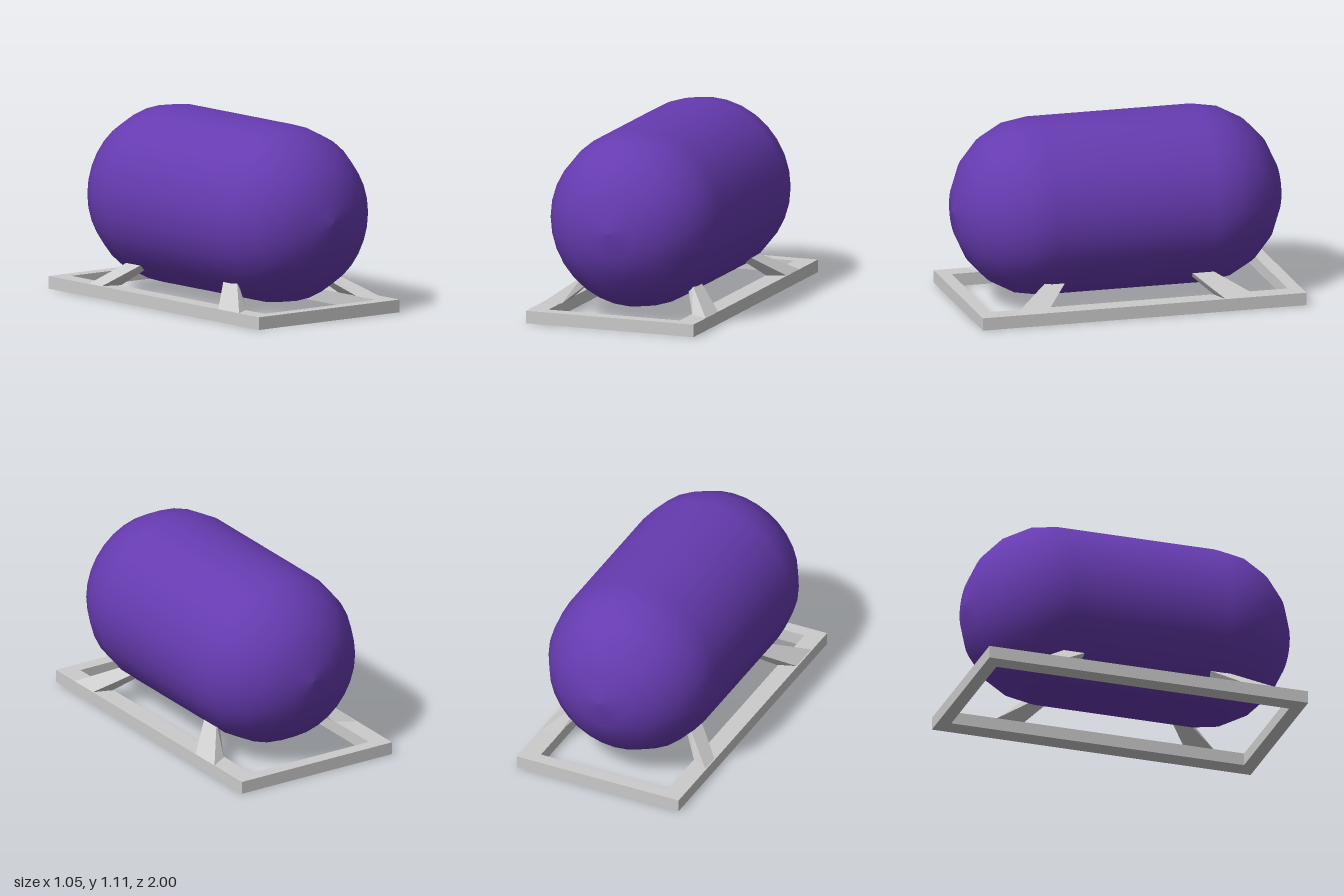
import * as THREE from 'three';
import { ConvexGeometry } from 'three/addons/geometries/ConvexGeometry.js';

const grey = new THREE.MeshStandardMaterial({ color: 0xcccccc, flatShading: true });
const purple = new THREE.MeshStandardMaterial({ color: 0x663bb0 });

function addMesh(group, name, geometry, material) {
  const mesh = new THREE.Mesh(geometry, material);
  mesh.name = name;
  group.add(mesh);
  return mesh;
}

// Corner points of a rectangle lying in the ground plane (shape y = -z)
function rectangle(x0, x1, z0, z1) {
  return [[x0, -z1], [x1, -z1], [x1, -z0], [x0, -z0]].map(([x, y]) => new THREE.Vector2(x, y));
}

// Capsule profile from one tip to the other, turned into a lathe along z
function tankGeometry(radius, halfStraight, capLength, steps) {
  const profile = [];
  for (const end of [-1, 1]) {
    for (let i = 0; i <= steps; i++) {
      const a = (end < 0 ? i : steps - i) / steps * Math.PI / 2;
      profile.push(new THREE.Vector2(radius * Math.sin(a), end * (halfStraight + capLength * Math.cos(a))));
    }
  }
  return new THREE.LatheGeometry(profile, 32).rotateX(Math.PI / 2);
}

// Tapered strut leaning from the frame into the tank; end is +1 front, -1 back
function strutGeometry(side, end, foot, shift) {
  const base = [
    [0.522, 0.075, foot], [0.522, 0.075, 0.575 - shift],
    [0.41, 0.075, foot - 0.07], [0.41, 0.075, 0.535 - shift],
  ];
  const top = [
    [0.36, 0.2, 0.55 - shift], [0.36, 0.2, 0.42 - shift],
    [0.315, 0.17, 0.52 - shift], [0.315, 0.175, 0.42 - shift],
  ];
  const points = [];
  base.forEach((b, i) => {
    const p = new THREE.Vector3(...b);
    // run slightly past the tank surface so the joint is closed
    const q = new THREE.Vector3(...top[i]).sub(p).multiplyScalar(1.1).add(p);
    for (const v of [p, q]) points.push(new THREE.Vector3(v.x * side, v.y, v.z * end));
  });
  return new ConvexGeometry(points);
}

export function createModel() {
  const model = new THREE.Group();
  model.name = 'tankOnStand';

  // Tank
  const tank = addMesh(model, 'tank', tankGeometry(0.525, 0.486, 0.502, 5), purple);
  tank.position.set(0, 0.58, 0.0125);

  // Rectangular base frame
  const outline = new THREE.Shape(rectangle(-0.53, 0.523, -1, 0.965));
  outline.holes.push(new THREE.Path(rectangle(-0.42, 0.405, -0.92, 0.885)));
  const frame = new THREE.ExtrudeGeometry(outline, { depth: 0.075, bevelEnabled: false });
  addMesh(model, 'baseFrame', frame.rotateX(-Math.PI / 2), grey);

  // Four support struts: the back pair sits closer in, the back right one has a narrower foot
  addMesh(model, 'frontLeftStrut', strutGeometry(1, 1, 0.77, 0), grey);
  addMesh(model, 'frontRightStrut', strutGeometry(-1, 1, 0.77, 0), grey);
  addMesh(model, 'backLeftStrut', strutGeometry(1, -1, 0.71, 0.065), grey);
  addMesh(model, 'backRightStrut', strutGeometry(-1, -1, 0.63, 0.065), grey);

  return model;
}
